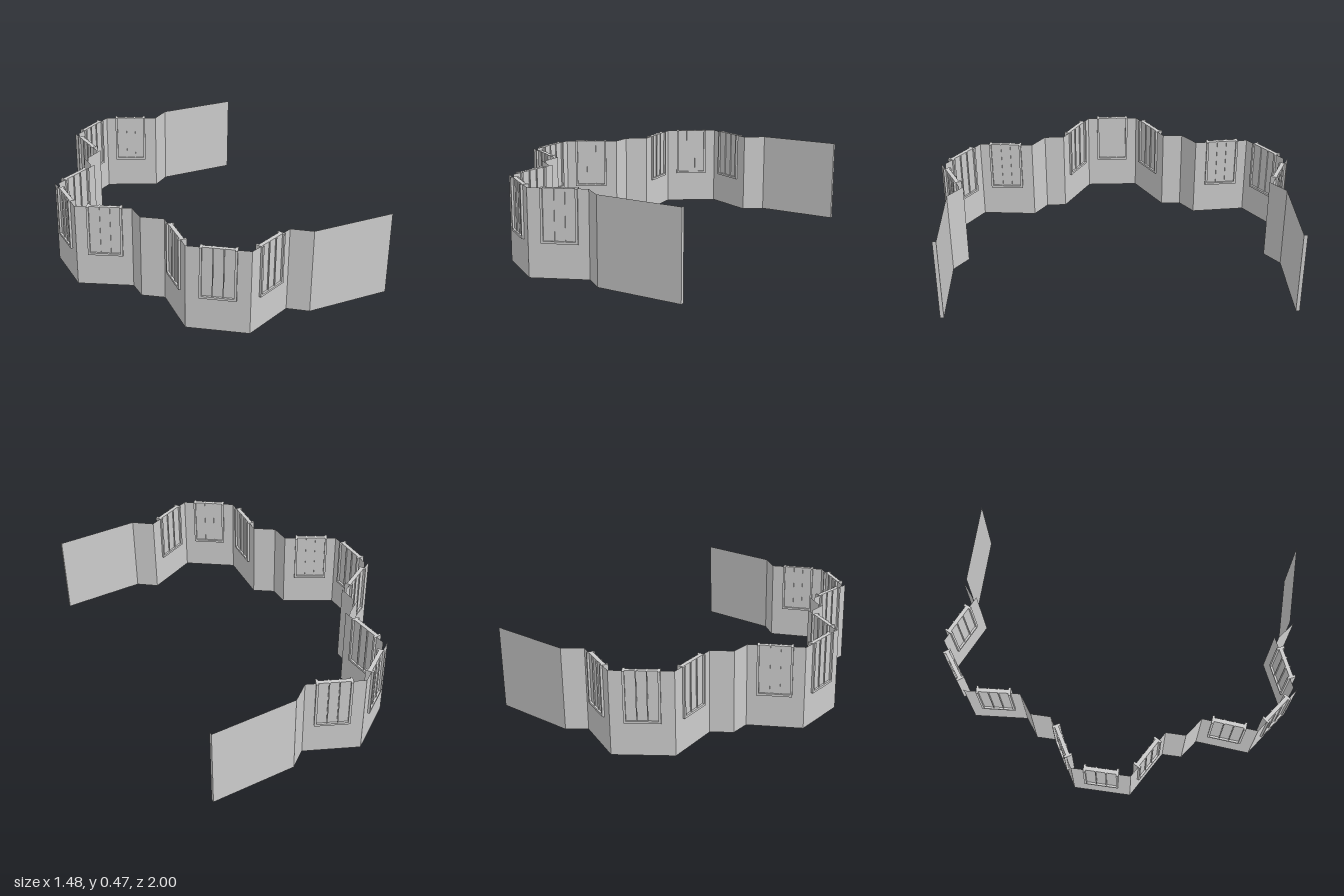
import * as THREE from 'three';

const HEIGHT = 0.47;
const HALF_THICKNESS = 0.01;

// Half of the wall's plan line (x, z), mirrored in z for the other half
const half = [
  [0.74, 0.935], [0.27, 0.935], [0.17, 0.858], [-0.115, 0.988], [-0.375, 0.803],
  [-0.35, 0.495], [-0.455, 0.42], [-0.455, 0.308], [-0.72, 0.155],
];
const path = [...half, ...half.map(([x, z]) => [x, -z]).reverse()]
  .map(([x, z]) => new THREE.Vector2(x, z));
const windowSegments = [2, 3, 4, 7, 8, 9, 12, 13, 14];

// Mitred offset of the plan line, positive to the outside
function offsetPath(distance) {
  const normal = (i) => {
    const d = path[i + 1].clone().sub(path[i]).normalize();
    return new THREE.Vector2(d.y, -d.x);
  };
  const last = path.length - 1;
  return path.map((p, i) => {
    const a = normal(Math.max(i - 1, 0));
    const b = normal(Math.min(i, last - 1));
    const m = a.clone().add(b).normalize();
    return p.clone().addScaledVector(m, distance / m.dot(a));
  });
}

// Folded wall strip, open along its top
function wallGeometry() {
  const outer = offsetPath(HALF_THICKNESS);
  const inner = offsetPath(-HALF_THICKNESS);
  const positions = [];
  const at = (p, y) => [p.x, y, p.y];
  const quad = (a, b, c, d) => positions.push(...a, ...b, ...c, ...a, ...c, ...d);
  const upright = (p, q) => quad(at(p, 0), at(q, 0), at(q, HEIGHT), at(p, HEIGHT));
  const last = path.length - 1;
  for (let i = 0; i < last; i++) {
    upright(outer[i + 1], outer[i]);
    upright(inner[i], inner[i + 1]);
    quad(at(outer[i], 0), at(outer[i + 1], 0), at(inner[i + 1], 0), at(inner[i], 0));
  }
  upright(outer[0], inner[0]);
  upright(inner[last], outer[last]);
  const geometry = new THREE.BufferGeometry();
  geometry.setAttribute('position', new THREE.Float32BufferAttribute(positions, 3));
  geometry.computeVertexNormals();
  return geometry;
}

// Window with a sill, side posts, two slim mullions and a pane
function makeWindow(material) {
  const group = new THREE.Group();
  group.name = 'window';
  const width = 0.19, depth = 0.045, frame = 0.0125, bottom = 0.185;
  const add = (name, w, d, x, y0, y1) => {
    const mesh = new THREE.Mesh(new THREE.BoxGeometry(w, y1 - y0, d), material);
    mesh.name = name;
    mesh.position.set(x, (y0 + y1) / 2, 0);
    group.add(mesh);
  };
  const sillTop = bottom + frame;
  add('sill', width, depth, 0, bottom, sillTop);
  add('pane', width - 2 * frame, 0.022, 0, sillTop, HEIGHT);
  for (const side of [-1, 1]) {
    add('post', frame, depth, side * (width - frame) / 2, sillTop, HEIGHT);
    add('mullion', 0.006, 0.034, side * (width - 2 * frame) / 6, sillTop, HEIGHT);
  }
  return group;
}

export function createModel() {
  const model = new THREE.Group();
  model.name = 'bayWall';
  const grey = new THREE.MeshStandardMaterial({ color: 0xcccccc });
  grey.name = 'light grey';

  const wall = new THREE.Mesh(wallGeometry(), grey);
  wall.name = 'wall';
  model.add(wall);

  // One window in the middle of each bay face
  for (const s of windowSegments) {
    const a = path[s], b = path[s + 1];
    const win = makeWindow(grey);
    win.position.set((a.x + b.x) / 2, 0, (a.y + b.y) / 2);
    win.rotation.y = Math.atan2(a.y - b.y, b.x - a.x);
    model.add(win);
  }
  return model;
}
